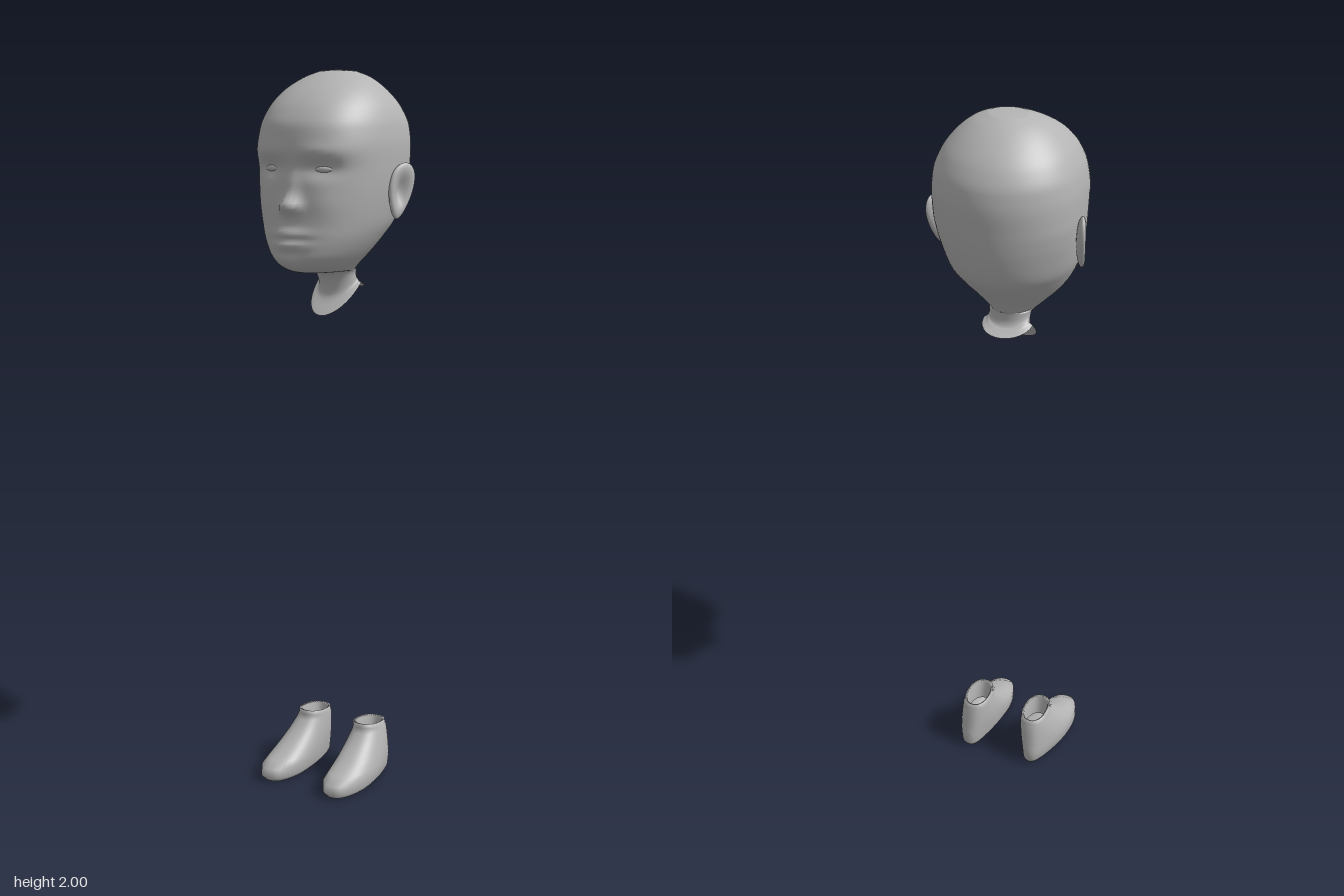
import * as THREE from 'three';

const SEG = 96;

// Skin a stack of closed rings (bottom to top), with optional end caps
function loft(rings, capBottom, capTop) {
  const n = rings[0].length, pos = [], idx = [];
  rings.forEach(r => r.forEach(p => pos.push(...p)));
  for (let i = 0; i < rings.length - 1; i++) {
    for (let j = 0; j < n; j++) {
      const k = (j + 1) % n, a = i * n + j, b = i * n + k, c = b + n, d = a + n;
      idx.push(a, b, c, a, c, d);
    }
  }
  const cap = (point, base, up) => {
    const m = pos.length / 3;
    pos.push(...point);
    for (let j = 0; j < n; j++) {
      const a = base + j, b = base + (j + 1) % n;
      up ? idx.push(a, b, m) : idx.push(b, a, m);
    }
  };
  if (capTop) cap(capTop, (rings.length - 1) * n, true);
  if (capBottom) cap(capBottom, 0, false);
  const g = new THREE.BufferGeometry();
  g.setAttribute('position', new THREE.Float32BufferAttribute(pos, 3));
  g.setIndex(idx);
  g.computeVertexNormals();
  return g;
}

// Smooth in-between rows without overshoot
function refine(rows, steps) {
  const slope = (a, b, c) => {
    const p = b - a, q = c - b;
    return p * q <= 0 ? 0 : 2 * p * q / (p + q);
  };
  const out = [];
  for (let i = 0; i < rows.length - 1; i++) {
    const A = rows[Math.max(i - 1, 0)], B = rows[i], C = rows[i + 1], D = rows[Math.min(i + 2, rows.length - 1)];
    for (let s = 0; s < steps; s++) {
      const t = s / steps, t2 = t * t, t3 = t2 * t;
      out.push(B.map((b, k) => {
        const c = C[k];
        const m0 = i === 0 ? c - b : slope(A[k], b, c);
        const m1 = i === rows.length - 2 ? c - b : slope(b, c, D[k]);
        return b * (2 * t3 - 3 * t2 + 1) + c * (3 * t2 - 2 * t3) + m0 * (t3 - 2 * t2 + t) + m1 * (t3 - t2);
      }));
    }
  }
  out.push(rows[rows.length - 1]);
  return out;
}

// Facial relief: x, y, height, spread x, spread y (mirrored when x > 0)
const RELIEF = [
  [0, 1.652, 0.030, 0.017, 0.017],   // nose tip
  [0, 1.695, 0.012, 0.014, 0.030],   // nose bridge
  [0.021, 1.645, 0.011, 0.010, 0.010], // nostril wings
  [0.080, 1.745, -0.017, 0.035, 0.018], // eye sockets
  [0.075, 1.788, 0.006, 0.050, 0.014], // brows
  [0.095, 1.655, 0.005, 0.030, 0.030], // cheeks
  [0, 1.577, 0.011, 0.034, 0.009],   // upper lip
  [0, 1.547, 0.010, 0.030, 0.009],   // lower lip
  [0, 1.562, -0.006, 0.040, 0.004],  // mouth line
  [0, 1.525, -0.006, 0.030, 0.010],  // chin fold
];
function relief(x, y) {
  let h = 0;
  for (const [cx, cy, d, sx, sy] of RELIEF) {
    const u = ((cx > 0 ? Math.abs(x) : x) - cx) / sx, v = (y - cy) / sy;
    h += d * Math.exp(-(u * u + v * v) / 2);
  }
  return h;
}

function headGeometry() {
  // y, front dip, half width, front z, back z, widest z, front squareness
  const rows = refine([
    [1.43, 0.085, 0.070, 0.055, -0.107, -0.04, 2],
    [1.44, 0.040, 0.058, 0.012, -0.085, -0.04, 2],
    [1.452, 0.010, 0.056, 0.022, -0.068, -0.03, 2],
    [1.465, 0, 0.060, 0.050, -0.070, -0.02, 2],
    [1.470, 0, 0.070, 0.145, -0.076, 0.03, 2],
    [1.490, 0, 0.094, 0.190, -0.092, 0.06, 2.1],
    [1.520, 0, 0.120, 0.207, -0.118, 0.05, 2.2],
    [1.560, 0, 0.145, 0.205, -0.158, 0.03, 2.3],
    [1.600, 0, 0.163, 0.200, -0.190, 0, 2.4],
    [1.650, 0, 0.176, 0.195, -0.208, -0.02, 2.5],
    [1.700, 0, 0.185, 0.191, -0.218, -0.04, 2.6],
    [1.745, 0, 0.190, 0.191, -0.223, -0.05, 2.6],
    [1.800, 0, 0.192, 0.200, -0.227, -0.05, 2.5],
    [1.850, 0, 0.187, 0.194, -0.222, -0.05, 2.4],
    [1.900, 0, 0.170, 0.166, -0.200, -0.04, 2.3],
    [1.950, 0, 0.132, 0.110, -0.155, -0.03, 2.2],
    [1.982, 0, 0.088, 0.050, -0.110, -0.03, 2],
    [1.996, 0, 0.050, 0.012, -0.080, -0.03, 2],
  ], 6);
  const rings = rows.map(([y, dip, w, zf, zb, zc, n]) => Array.from({ length: SEG }, (_, j) => {
    const a = j / SEG * Math.PI * 2, s = Math.sin(a), c = Math.cos(a), x = w * s;
    if (c <= 0) return [x, y + Math.min(dip, 0.02) * c, zc + (zc - zb) * c];
    const z = zc + (zf - zc) * Math.pow(Math.max(0, 1 - Math.pow(Math.abs(s), n)), 1 / n);
    return [x, y - dip * c, z + relief(x, y) * Math.min(1, c * 2)];
  }));
  return loft(rings, null, [0, 2, -0.035]);
}

// Cupped ear, attached at the front edge and flaring out at the back
function earGeometry() {
  const g = new THREE.SphereGeometry(1, 28, 20), p = g.attributes.position;
  for (let i = 0; i < p.count; i++) {
    let x = p.getX(i);
    const y = p.getY(i), z = p.getZ(i);
    if (x > 0) x *= 1 - 1.7 * Math.exp(-(y * y + z * z) * 3);
    const taper = 0.8 + 0.25 * y;
    p.setXYZ(i, x * 0.016, y * 0.074, z * 0.048 * taper - y * 0.014);
  }
  g.rotateY(-0.4);
  g.translate(0.2, 1.684, -0.03);
  g.computeVertexNormals();
  return g;
}

function shoeGeometry() {
  // y, toe z, heel z, inner x, outer x; the last two rows fold into the opening
  const rows = [
    [0, 0.165, -0.120, 0.056, 0.155],
    [0.012, 0.177, -0.128, 0.048, 0.165],
    [0.038, 0.174, -0.129, 0.046, 0.165],
    [0.052, 0.140, -0.127, 0.046, 0.162],
    [0.075, 0.090, -0.124, 0.047, 0.156],
    [0.105, 0.043, -0.120, 0.050, 0.146],
    [0.135, 0.006, -0.115, 0.054, 0.137],
    [0.150, 0.000, -0.112, 0.056, 0.133],
    [0.164, 0.002, -0.111, 0.057, 0.131],
    [0.160, -0.008, -0.103, 0.064, 0.124],
    [0.100, -0.008, -0.103, 0.064, 0.124],
  ];
  const rings = rows.map(([y, zf, zb, xi, xo], r) => Array.from({ length: 40 }, (_, j) => {
    const a = j / 40 * Math.PI * 2, s = Math.sin(a), c = Math.cos(a);
    const round = v => Math.sign(v) * Math.pow(Math.abs(v), 0.85);
    const low = Math.max(0, 1 - y / 0.14);
    // narrower heel, and a collar that drops toward the back
    const heel = 1 - low * 0.28 * THREE.MathUtils.smoothstep(-c, -0.4, 0.8);
    const x = (xi + xo) / 2 + (xo - xi) / 2 * round(s) * heel;
    const drop = r > 6 && r < 10 ? 0.006 * (1 - c) : 0;
    return [x - low * 0.006 * Math.max(0, -c), y - drop, (zf + zb) / 2 + (zf - zb) / 2 * round(c)];
  }));
  return loft(rings, [0.105, 0, 0.02], null);
}

// Mirror a geometry across x = 0, keeping its faces outward
function mirrored(geo) {
  const g = geo.clone().scale(-1, 1, 1), i = g.index;
  for (let k = 0; k < i.count; k += 3) {
    const b = i.getX(k + 1);
    i.setX(k + 1, i.getX(k + 2));
    i.setX(k + 2, b);
  }
  g.computeVertexNormals();
  return g;
}

export function createModel() {
  const model = new THREE.Group();
  model.name = 'headAndShoes';
  const grey = new THREE.MeshStandardMaterial({ color: 0xb4b4b4, side: THREE.DoubleSide });
  grey.name = 'plainGrey';
  const add = (name, geo) => {
    const mesh = new THREE.Mesh(geo, grey);
    mesh.name = name;
    model.add(mesh);
  };
  const pair = (name, geo) => {
    add('left' + name, geo);
    add('right' + name, mirrored(geo));
  };

  const head = headGeometry();
  add('headAndNeck', head);

  // Almond eyes seated on the face surface
  const p = head.attributes.position;
  let best = 1, eyeZ = 0.17;
  for (let i = 0; i < p.count; i++) {
    const d = Math.hypot(p.getX(i) - 0.08, p.getY(i) - 1.745);
    if (p.getZ(i) > 0 && d < best) { best = d; eyeZ = p.getZ(i); }
  }
  const eye = new THREE.SphereGeometry(1, 20, 12).scale(0.028, 0.010, 0.010);
  eye.rotateY(0.3).translate(0.08, 1.745, eyeZ - 0.003);
  pair('Eye', eye);

  pair('Ear', earGeometry());
  pair('Shoe', shoeGeometry());
  return model;
}
